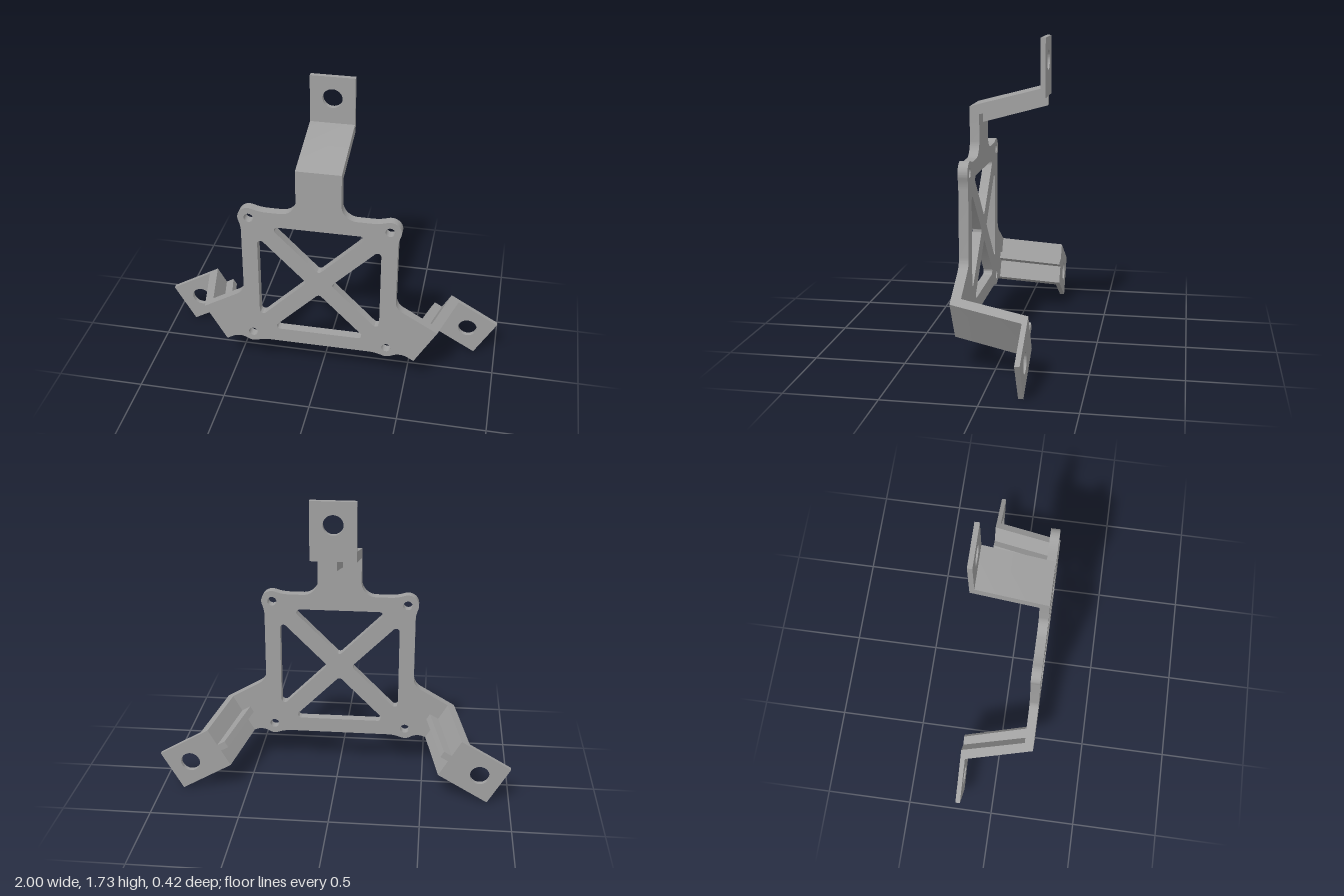
import * as THREE from 'three';
import { toCreasedNormals } from 'three/addons/utils/BufferGeometryUtils.js';

const CY = 0.65;                  // height of the bracket centre; shapes are drawn around it
const FRONT = 0.208, BACK = 0.155; // plate faces
const TAB_FRONT = -0.181, TAB_BACK = -0.208;
const HALF = 0.125, JOIN = 0.69;  // arm half width, radius where arms leave the plate
const EAR = { x: 0.39, y: 0.39, r: 0.062 };
const rad = THREE.MathUtils.degToRad;

function extrude(shape, depth, z) {
  const g = new THREE.ExtrudeGeometry(shape, { depth, bevelEnabled: false, curveSegments: 24 });
  g.translate(0, 0, z);
  return toCreasedNormals(g, rad(30));
}

// Extrudes a (z, radius) side profile across the arm width
function extrudeProfile(points, width) {
  const shape = new THREE.Shape(points.map(([z, r]) => new THREE.Vector2(z, r)));
  return extrude(shape, width, -width / 2).rotateY(-Math.PI / 2);
}

function circle(x, y, r) {
  return new THREE.Path().absarc(x, y, r, 0, Math.PI * 2, true);
}

// Polygon with every corner rounded by the same radius
function roundedHole(pts, r) {
  const path = new THREE.Path();
  const v = pts.map(([x, y]) => new THREE.Vector2(x, y));
  v.forEach((p, i) => {
    const a = v[(i + v.length - 1) % v.length].clone().sub(p).normalize();
    const b = v[(i + 1) % v.length].clone().sub(p).normalize();
    const half = Math.acos(a.dot(b)) / 2;
    const t = r / Math.tan(half);
    const c = a.clone().add(b).normalize().multiplyScalar(r / Math.sin(half)).add(p);
    const s = a.multiplyScalar(t).add(p), e = b.multiplyScalar(t).add(p);
    path.absarc(c.x, c.y, r, Math.atan2(s.y - c.y, s.x - c.x), Math.atan2(e.y - c.y, e.x - c.x), false);
  });
  path.closePath();
  return path;
}

// Point on the lower side arm: r along it, s across it
function armPoint(r, s) {
  return [r * Math.cos(rad(-30)) + s * 0.5, r * -0.5 + s * Math.cos(rad(30))];
}

function plateShape() {
  const E = 0.433, { x, y, r } = EAR;
  const half = new THREE.Path();
  half.moveTo(0, -E);
  // lower ear
  half.lineTo(0.285, -E);
  half.quadraticCurveTo(0.328, -E, x + r * Math.cos(rad(250)), -y + r * Math.sin(rad(250)));
  half.absarc(x, -y, r, rad(250), rad(300), false);
  const low = armPoint(0.675, -HALF);
  half.quadraticCurveTo(0.471, -0.414, low[0], low[1]);
  // side arm root
  half.lineTo(...armPoint(JOIN, -HALF));
  half.lineTo(...armPoint(JOIN, HALF));
  half.lineTo(0.48, -0.132);
  half.quadraticCurveTo(E + 0.002, -0.106, E + 0.002, -0.06);
  // upper ear
  half.lineTo(0.435, 0.303);
  half.quadraticCurveTo(0.435, 0.334, x + r * Math.cos(rad(-20)), y + r * Math.sin(rad(-20)));
  half.absarc(x, y, r, rad(-20), rad(110), false);
  half.quadraticCurveTo(0.331, 0.435, 0.285, 0.435);
  // top arm root
  half.lineTo(0.21, 0.435);
  half.absarc(0.21, 0.52, 0.085, rad(270), rad(180), true);
  half.lineTo(HALF, JOIN);
  const right = half.getPoints(12);
  const left = right.slice(1).reverse().map(p => new THREE.Vector2(-p.x, p.y));
  const shape = new THREE.Shape([...right, ...left]);

  // four triangular windows that leave the crossed braces
  const apex = 0.07, side = 0.346;
  const tri = [[apex, 0], [side, apex - side], [side, side - apex]];
  for (let i = 0; i < 4; i++) {
    const c = Math.round(Math.cos(i * Math.PI / 2)), s = Math.round(Math.sin(i * Math.PI / 2));
    shape.holes.push(roundedHole(tri.map(([px, py]) => [px * c - py * s, px * s + py * c]), 0.02));
  }
  // screw holes in the ears
  for (const sx of [-1, 1]) for (const sy of [-1, 1]) shape.holes.push(circle(sx * x, sy * y, 0.026));
  return shape;
}

function createArm(material) {
  const arm = new THREE.Group();
  const add = (name, geometry) => {
    const mesh = new THREE.Mesh(geometry, material);
    mesh.name = name;
    arm.add(mesh);
  };
  // sloping strip from the plate back to the tab
  add('armRamp', extrudeProfile([
    [FRONT, JOIN], [FRONT, 0.708], [TAB_FRONT, 0.81], [TAB_BACK, 0.81],
    [TAB_BACK, 0.758], [BACK, 0.665], [BACK, JOIN],
  ], HALF * 2));
  // stiffening rib under the ramp
  add('armRib', extrudeProfile([
    [BACK, 0.608], [BACK, 0.668], [TAB_BACK, 0.761], [TAB_BACK, 0.708],
  ], 0.04));
  // mounting tab with its bolt hole
  const tab = new THREE.Shape();
  tab.moveTo(-HALF, 0.81);
  tab.lineTo(HALF, 0.81);
  tab.lineTo(HALF, 1.083);
  tab.lineTo(-HALF, 1.083);
  tab.closePath();
  tab.holes.push(circle(0, 0.956, 0.055));
  add('mountingTab', extrude(tab, TAB_FRONT - TAB_BACK, TAB_BACK));
  return arm;
}

export function createModel() {
  const grey = new THREE.MeshStandardMaterial({ color: 0xa0a0a0 });
  grey.name = 'grey';
  const model = new THREE.Group();
  model.name = 'mountingBracket';

  const plate = new THREE.Mesh(extrude(plateShape(), FRONT - BACK, BACK), grey);
  plate.name = 'framePlate';
  plate.position.y = CY;
  model.add(plate);

  ['topArm', 'leftArm', 'rightArm'].forEach((name, i) => {
    const arm = createArm(grey);
    arm.name = name;
    arm.position.y = CY;
    arm.rotation.z = -i * Math.PI * 2 / 3;
    model.add(arm);
  });
  return model;
}
